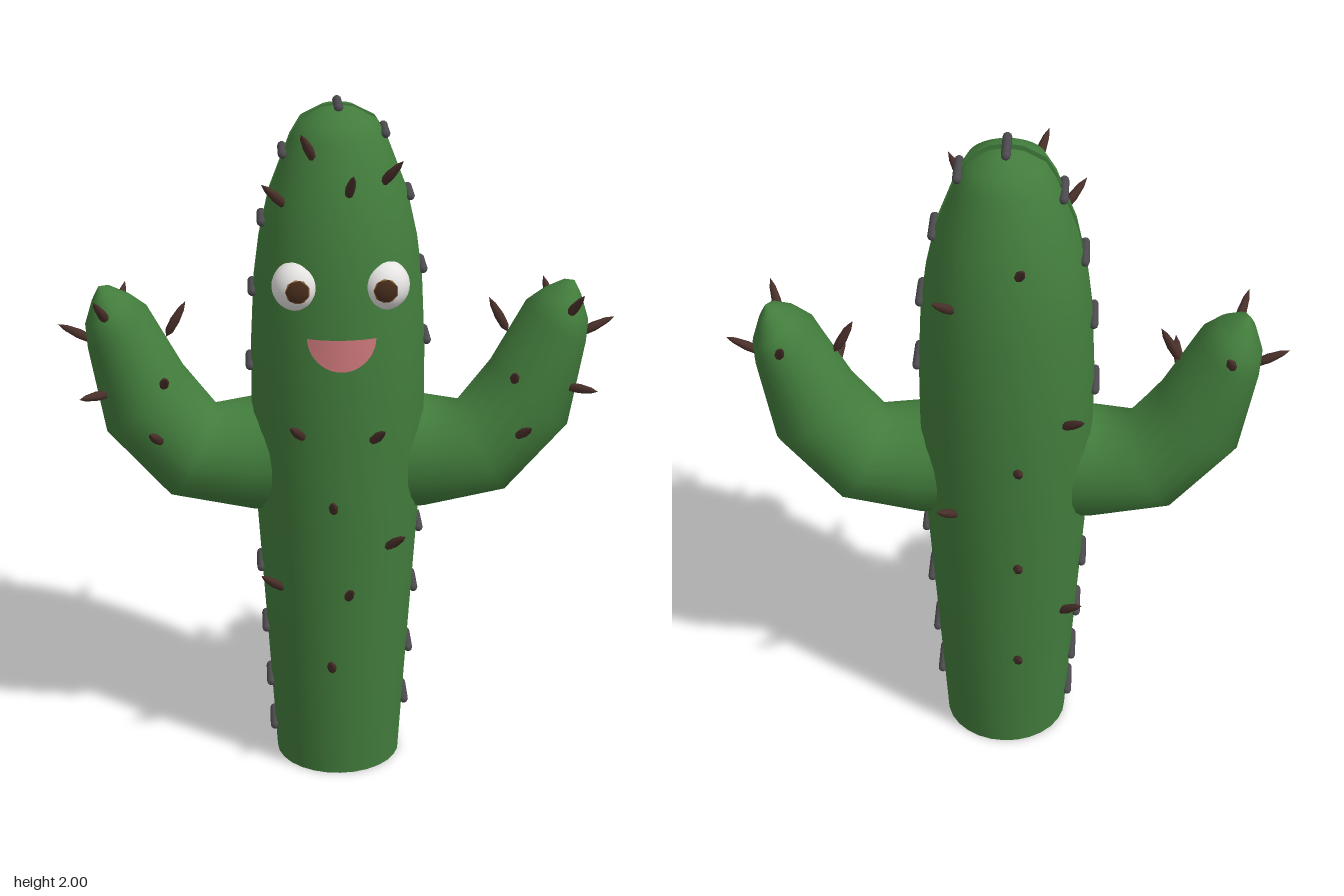
import * as THREE from 'three';
import { toCreasedNormals } from 'three/addons/utils/BufferGeometryUtils.js';

const mat = (name, color) => {
  const m = new THREE.MeshStandardMaterial({ color });
  m.name = name;
  return m;
};

// Body silhouette: [radius, height]
const PROFILE = [[0.185, 0], [0.21, 0.4], [0.236, 0.8], [0.249, 1.1], [0.248, 1.3], [0.238, 1.5],
  [0.222, 1.62], [0.193, 1.75], [0.135, 1.9], [0.105, 1.95], [0.045, 1.982], [0, 1.988]];
const DEPTH = 1.04;

function radiusAt(y) {
  for (let i = 1; i < PROFILE.length; i++) {
    const [r0, y0] = PROFILE[i - 1], [r1, y1] = PROFILE[i];
    if (y <= y1) return THREE.MathUtils.mapLinear(y, y0, y1, r0, r1);
  }
  return 0;
}
const surfaceZ = (x, y) => DEPTH * Math.sqrt(Math.max(0, radiusAt(y) ** 2 - x * x));

// Arm cross-sections: lower point x, y, upper point x, y, half depth
const ARM = [[0.12, 0.79, 0.12, 1.14, 0.15], [0.25, 0.8, 0.25, 1.13, 0.163], [0.49, 0.85, 0.35, 1.11, 0.16],
  [0.67, 1.05, 0.44, 1.23, 0.14], [0.713, 1.3, 0.54, 1.41, 0.122], [0.717, 1.365, 0.59, 1.447, 0.1],
  [0.695, 1.435, 0.645, 1.475, 0.045], [0.675, 1.475, 0.675, 1.475, 0]];

function armGeometry(sides = 20) {
  const pos = [], index = [];
  ARM.forEach(([xl, yl, xu, yu, w], i) => {
    for (let j = 0; j < sides; j++) {
      const t = (j / sides) * Math.PI * 2, c = Math.cos(t) / 2;
      pos.push((xl + xu) / 2 + (xu - xl) * c, (yl + yu) / 2 + (yu - yl) * c, w * Math.sin(t));
      if (i < ARM.length - 1) {
        const k = (j + 1) % sides, a = i * sides + j, b = i * sides + k;
        index.push(a, b, a + sides, b, b + sides, a + sides);
      }
    }
  });
  const g = new THREE.BufferGeometry();
  g.setAttribute('position', new THREE.Float32BufferAttribute(pos, 3));
  g.setIndex(index);
  g.computeVertexNormals();
  return g;
}

export function createModel() {
  const root = new THREE.Group();
  const green = mat('cactusGreen', 0x427c3c);
  const brown = mat('spineBrown', 0x4a302a);
  const grey = mat('stitchGrey', 0x4c4a4e);
  const white = mat('eyeWhite', 0xe6e4e2);
  const amber = mat('irisAmber', 0x8a6230);
  const dark = mat('pupilBrown', 0x472c1c);
  const pink = mat('mouthPink', 0xcc777a);

  const add = (name, geo, material, parent = root) => {
    const m = new THREE.Mesh(geo, material);
    m.name = name;
    parent.add(m);
    return m;
  };

  // Body: two half shells with a narrow seam between them, and an inner core
  const GAP = 0.013;
  const points = [[0, 0], ...PROFILE].map(([r, y]) => new THREE.Vector2(r, y));
  const shell = toCreasedNormals(new THREE.LatheGeometry(points, 14, -Math.PI / 2, Math.PI), 0.7);
  const wallShape = new THREE.Shape([...points.slice(1), ...points.slice(1, -1).reverse()
    .map((p) => new THREE.Vector2(-p.x, p.y))]);
  const wall = new THREE.ShapeGeometry(wallShape).rotateY(Math.PI);
  ['frontHalf', 'backHalf'].forEach((name, i) => {
    const half = new THREE.Group();
    half.name = name;
    const s = add('shell', shell, green, half);
    s.scale.z = DEPTH - GAP / 0.25;
    s.position.z = GAP;
    add('seamWall', wall, green, half).position.z = GAP;
    half.rotation.y = i * Math.PI;
    root.add(half);
  });
  const corePoints = [new THREE.Vector2(0, 0.03), ...PROFILE.map(([r, y]) =>
    new THREE.Vector2(Math.max(0, r - 0.025), Math.max(0.03, y - 0.025)))];
  add('seamCore', new THREE.LatheGeometry(corePoints, 24), green);

  // Arms: the right one is the left one turned half round
  const arm = armGeometry();
  add('leftArm', arm, green);
  add('rightArm', arm, green).rotation.y = Math.PI;

  // Stitches across the seam
  const stitchGeo = new THREE.CapsuleGeometry(0.013, 0.105, 4, 10).rotateX(Math.PI / 2);
  const stitches = { 1: [0.17, 0.345, 0.545, 0.74, 1.32, 1.53, 1.74, 1.915],
    '-1': [0.09, 0.24, 0.42, 0.62, 1.25, 1.47, 1.67, 1.86] };
  for (const side of [1, -1]) {
    for (const y of stitches[side]) {
      add('stitch', stitchGeo, grey).position.set(side * (radiusAt(y) + 0.003), y, 0);
    }
  }
  add('topStitch', stitchGeo, grey).position.set(0, 1.987, 0);

  // Spines: slim spindles growing along a direction
  const spineGeo = new THREE.LatheGeometry([[0, -0.02], [0.012, 0], [0.014, 0.035], [0.009, 0.075], [0, 0.1]]
    .map(([r, y]) => new THREE.Vector2(r, y)), 7);
  const up = new THREE.Vector3(0, 1, 0);
  const spine = (p, d) => {
    const m = add('spine', spineGeo, brown);
    m.position.set(...p);
    m.quaternion.setFromUnitVectors(up, new THREE.Vector3(...d).normalize());
  };
  const front = [[-0.075, 1.87], [0.022, 1.78], [0.12, 1.8], [-0.155, 1.74], [-0.11, 1.1], [0.088, 1.09],
    [-0.022, 0.88], [0.135, 0.745], [0.02, 0.6], [-0.17, 0.6], [-0.025, 0.36]];
  const back = [[-0.04, 1.71], [0.14, 1.59], [-0.17, 1.22], [-0.04, 1.1], [0.14, 0.91],
    [-0.04, 0.74], [-0.17, 0.5], [-0.04, 0.36]];
  [[front, 1], [back, -1]].forEach(([list, f]) => list.forEach(([x, y]) => {
    const z = f * surfaceZ(x, y);
    spine([x, y, z], [x, 0.17, z]);
  }));
  const armSpines = [
    [[0.48, 1.34, 0], [-0.55, 1, 0]], [[0.65, 1.4, 0.085], [0.3, 0.7, 0.6]],
    [[0.705, 1.32, 0], [1, 0.5, 0]], [[0.66, 1.18, 0.08], [0.7, 0.1, 0.7]],
    [[0.495, 1.22, 0.125], [-0.1, 0.5, 0.9]], [[0.51, 1.06, 0.145], [0.25, 0.5, 0.8]],
    [[0.63, 1.37, -0.1], [-0.2, 0.7, -0.7]],
  ];
  for (const side of [1, -1]) {
    armSpines.forEach(([p, d]) => spine([side * p[0], p[1], p[2]], [side * d[0], d[1], d[2]]));
  }

  // Eyes: ball with thin iris and pupil caps facing forward
  const cap = (r, angle, sides) => new THREE.SphereGeometry(r, sides, 5, 0, Math.PI * 2, 0, angle).rotateX(Math.PI / 2);
  for (const side of [1, -1]) {
    const eye = new THREE.Group();
    eye.name = side > 0 ? 'leftEye' : 'rightEye';
    add('eyeball', new THREE.SphereGeometry(0.07, 24, 16), white, eye);
    add('iris', cap(0.0715, 0.5, 9), amber, eye);
    add('pupil', cap(0.073, 0.47, 7), dark, eye);
    eye.position.set(side * 0.12, 1.525, 0.183);
    root.add(eye);
  }

  // Mouth: half disc wrapped onto the body
  const mouth = new THREE.RingGeometry(0.001, 0.095, 24, 5, Math.PI, Math.PI);
  const p = mouth.attributes.position;
  for (let i = 0; i < p.count; i++) {
    const x = p.getX(i), y = 1.39 + p.getY(i) * 0.95;
    p.setXYZ(i, x, y, surfaceZ(x, y) + 0.008);
  }
  mouth.computeVertexNormals();
  pink.side = THREE.DoubleSide;
  add('mouth', mouth, pink);

  return root;
}
